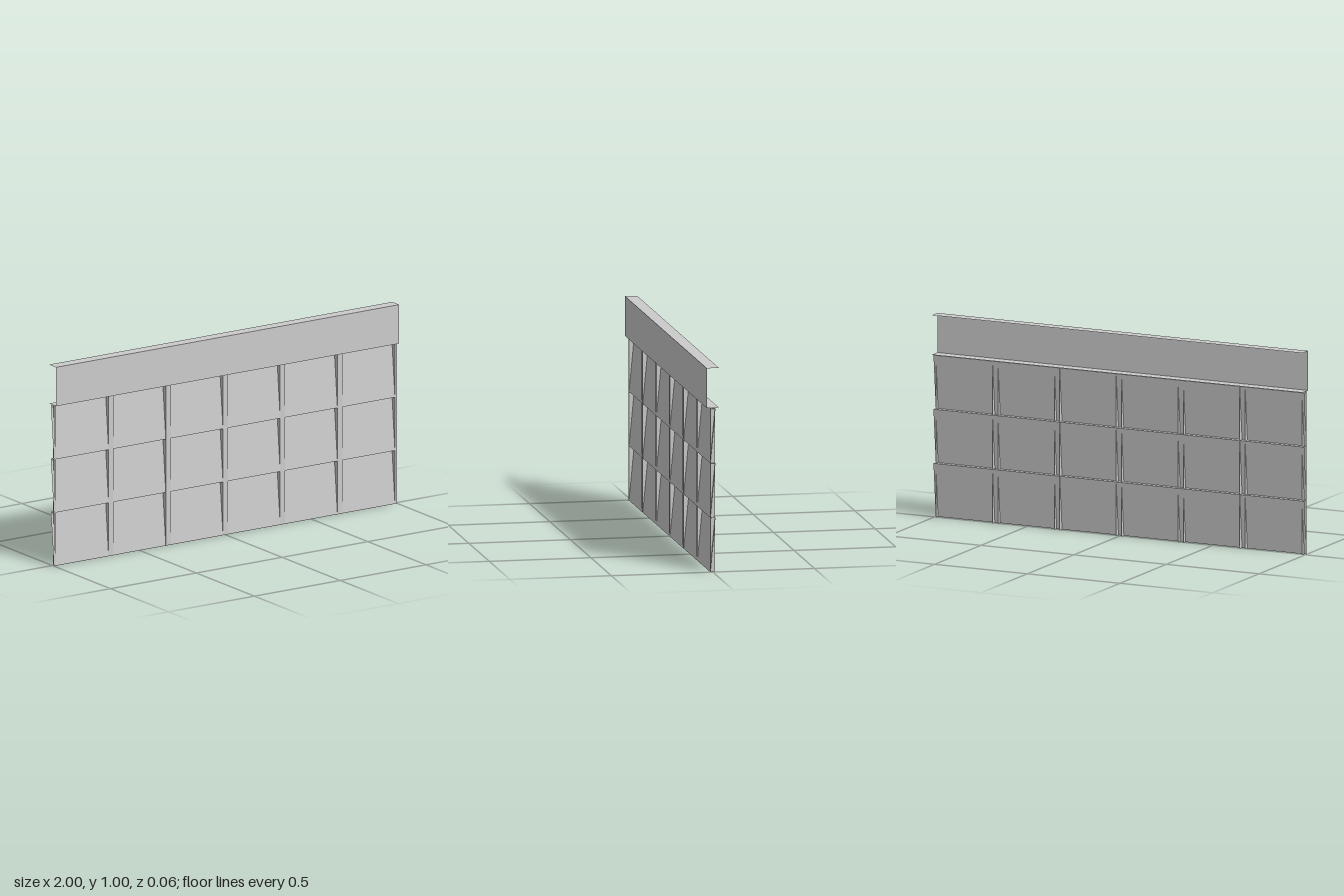
import * as THREE from 'three';

const material = new THREE.MeshStandardMaterial({ color: 0xcccccc, side: THREE.DoubleSide });

// Folded thin sheet: an open profile swept from a to b; place(u, v, t) gives the point.
function foldedSheet(name, profile, a, b, place) {
  const pos = [];
  for (let i = 0; i < profile.length - 1; i++) {
    const p = profile[i], q = profile[i + 1];
    const A = place(...p, a), B = place(...p, b), C = place(...q, b), D = place(...q, a);
    pos.push(...A, ...B, ...C, ...A, ...C, ...D);
  }
  const geo = new THREE.BufferGeometry();
  geo.setAttribute('position', new THREE.Float32BufferAttribute(pos, 3));
  geo.computeVertexNormals();
  const mesh = new THREE.Mesh(geo, material);
  mesh.name = name;
  return mesh;
}

// (z, y) profile swept along x, and (x, z) profile swept along y
const alongX = (z, y, x) => [x, y, z];
const alongY = (x, z, y) => [x, y, z];

export function createModel() {
  const group = new THREE.Group();
  const wallTop = 0.805, rows = 3, columns = 6;
  const depth = 0.0125, flange = 0.03;
  const half = 0.0145, pitch = 1 / 3;

  // Top fascia: front board with flanges turned back at top and bottom
  group.add(foldedSheet('fascia',
    [[-flange, wallTop], [flange, wallTop], [flange, 1], [-flange, 1]], 1, -1, alongX));

  // Sloping cladding boards, each leaning back to its top, joined by ledges
  const cladding = [];
  for (let i = 0; i < rows; i++) {
    cladding.push([depth, (i * 0.8) / rows], [-depth, ((i + 1) * 0.8) / rows]);
  }
  cladding.push([depth, 0.8]);
  group.add(foldedSheet('claddingBoards', cladding, 1, -1, alongX));

  // Upright channels between the columns, with fins running back through the boards
  const front = depth + 0.0003;
  for (let i = 1; i < columns; i++) {
    const x = -1 + i * pitch;
    group.add(foldedSheet('upright',
      [[x - half, -depth], [x - half, front], [x + half, front], [x + half, -depth]],
      0, wallTop, alongY));
  }

  // Half channels at both ends
  for (const s of [-1, 1]) {
    group.add(foldedSheet('endUpright',
      [[s, front], [s * 0.9875, front], [s * 0.9875, -depth]],
      ...(s < 0 ? [wallTop, 0] : [0, wallTop]), alongY));
  }
  return group;
}
